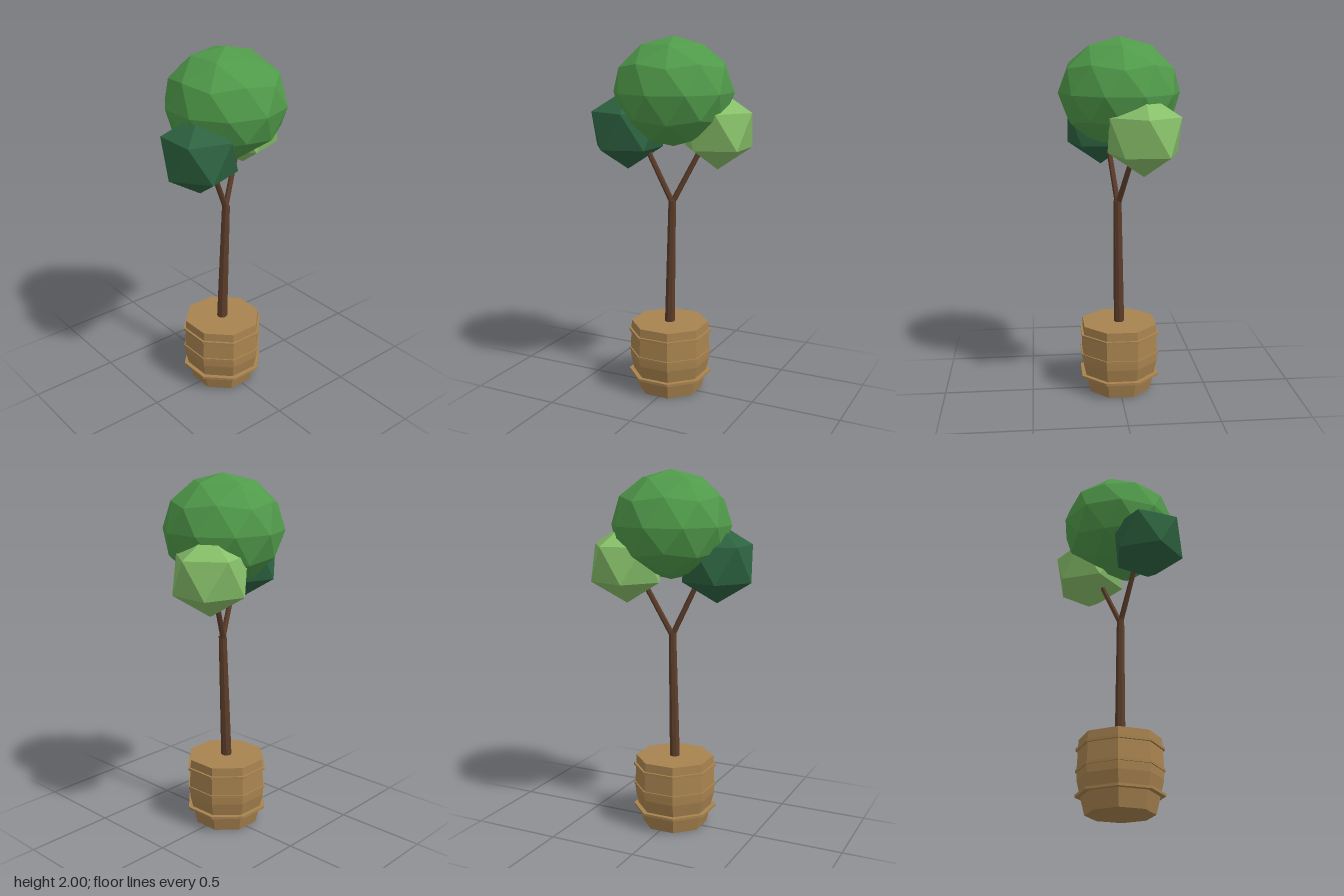
import * as THREE from 'three';

const mat = (name, color) => {
  const m = new THREE.MeshStandardMaterial({ color, flatShading: true });
  m.name = name;
  return m;
};

export function createModel() {
  const wood = mat('barrel wood', 0xa8834f);
  const bark = mat('bark', 0x5c3d2a);
  const midGreen = mat('mid green leaves', 0x509a4a);
  const lightGreen = mat('light green leaves', 0x87bf69);
  const darkGreen = mat('dark green leaves', 0x2d6340);

  const group = new THREE.Group();
  group.name = 'pottedTree';
  const add = (name, geometry, material) => {
    const mesh = new THREE.Mesh(geometry, material);
    mesh.name = name;
    group.add(mesh);
    return mesh;
  };

  // Eight-sided turned shape with a flat side facing front
  const octagon = (profile) => new THREE.LatheGeometry(
    profile.map(([r, y]) => new THREE.Vector2(r, y)), 8, Math.PI / 8);

  // Faceted ball standing on one of its corners
  const ball = (rx, ry, detail) => new THREE.IcosahedronGeometry(1, detail)
    .rotateX(-Math.atan((1 + Math.sqrt(5)) / 2))
    .rotateY(Math.PI / 2)
    .scale(rx, ry, rx);

  // Tapered limb between two points
  const limb = (name, from, to, r0, r1, sides) => {
    const a = new THREE.Vector3(...from), b = new THREE.Vector3(...to);
    const dir = b.clone().sub(a);
    const mesh = add(name, new THREE.CylinderGeometry(r1, r0, dir.length(), sides), bark);
    mesh.position.copy(a).add(b).multiplyScalar(0.5);
    mesh.quaternion.setFromUnitVectors(new THREE.Vector3(0, 1, 0), dir.normalize());
  };

  // Barrel planter, closed at both ends
  add('barrel', octagon([
    [0, 0], [0.183, 0], [0.208, 0.1], [0.226, 0.18], [0.228, 0.23], [0.22, 0.4], [0, 0.4],
  ]), wood).position.x = -0.012;

  // Thin hoops around the barrel
  for (const [y, r] of [[0.1, 0.235], [0.23, 0.235], [0.345, 0.235]]) {
    add('barrelHoop', octagon([
      [0.2, y - 0.007], [r, y - 0.007], [r, y + 0.007], [0.2, y + 0.007],
    ]), wood).position.x = -0.012;
  }

  // Trunk and two branches
  limb('trunk', [-0.013, 0.38, -0.001], [0.007, 1.11, 0.009], 0.03, 0.022, 8);
  limb('leftBranch', [0.003, 1.09, 0.006], [0.172, 1.45, -0.077], 0.016, 0.014, 6);
  limb('rightBranch', [0.01, 1.09, 0.008], [-0.153, 1.45, 0.055], 0.016, 0.014, 6);

  // Foliage
  add('crown', ball(0.33, 0.295, 1), midGreen).position.set(0.01, 1.705, 0);
  add('leftFoliage', ball(0.22, 0.22, 0), lightGreen).position.set(0.226, 1.5, -0.11);
  add('rightFoliage', ball(0.22, 0.22, 0), darkGreen).position.set(-0.228, 1.5, 0.084);

  return group;
}
